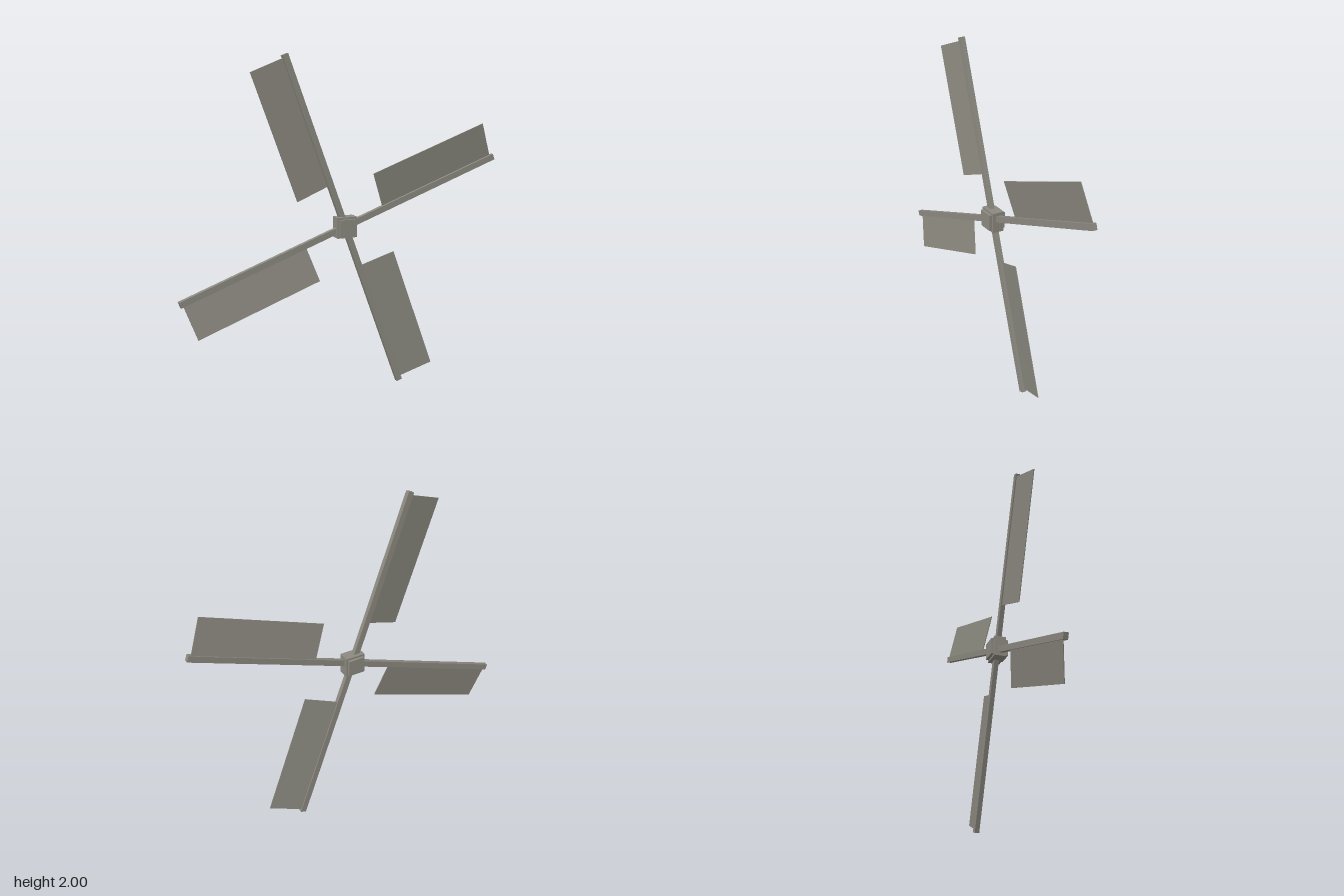
import * as THREE from 'three';

const CENTER_Y = 1;
const ARM_LENGTH = 1.058;
const ARM_WIDTH = 0.036;
const ARM_DEPTH = 0.027;

export function createModel() {
  const weatheredWood = new THREE.MeshStandardMaterial({ color: 0x8c8a80 });

  const box = (name, w, h, d) => {
    const mesh = new THREE.Mesh(new THREE.BoxGeometry(w, h, d), weatheredWood);
    mesh.name = name;
    return mesh;
  };

  const model = new THREE.Group();
  model.name = 'windmillRotor';

  // Hub: a block with a slightly wider collar around its middle
  const hub = new THREE.Group();
  hub.name = 'hub';
  hub.add(box('hubBlock', 0.098, 0.098, 0.102), box('hubCollar', 0.122, 0.122, 0.07));
  model.add(hub);

  // Sail cross-section: runs from the arm to the free edge, leaning forward
  const inner = new THREE.Vector2(0.01, -0.006);
  const outer = new THREE.Vector2(0.228, 0.026);
  const span = outer.clone().sub(inner);
  const sailStart = 0.264;
  const sailEnd = 1.041;

  // Four blades, each an arm with one pitched sail
  for (let i = 0; i < 4; i++) {
    const blade = new THREE.Group();
    blade.name = `blade${i + 1}`;

    const arm = box('arm', ARM_LENGTH, ARM_WIDTH, ARM_DEPTH);
    arm.position.x = ARM_LENGTH / 2;

    const sail = box('sail', sailEnd - sailStart, span.length(), 0.004);
    sail.position.set((sailStart + sailEnd) / 2, (inner.x + outer.x) / 2, (inner.y + outer.y) / 2);
    sail.rotation.x = span.angle();

    blade.add(arm, sail);
    blade.rotation.z = THREE.MathUtils.degToRad(20 + i * 90);
    model.add(blade);
  }

  model.children.forEach((part) => { part.position.y = CENTER_Y; });
  return model;
}
